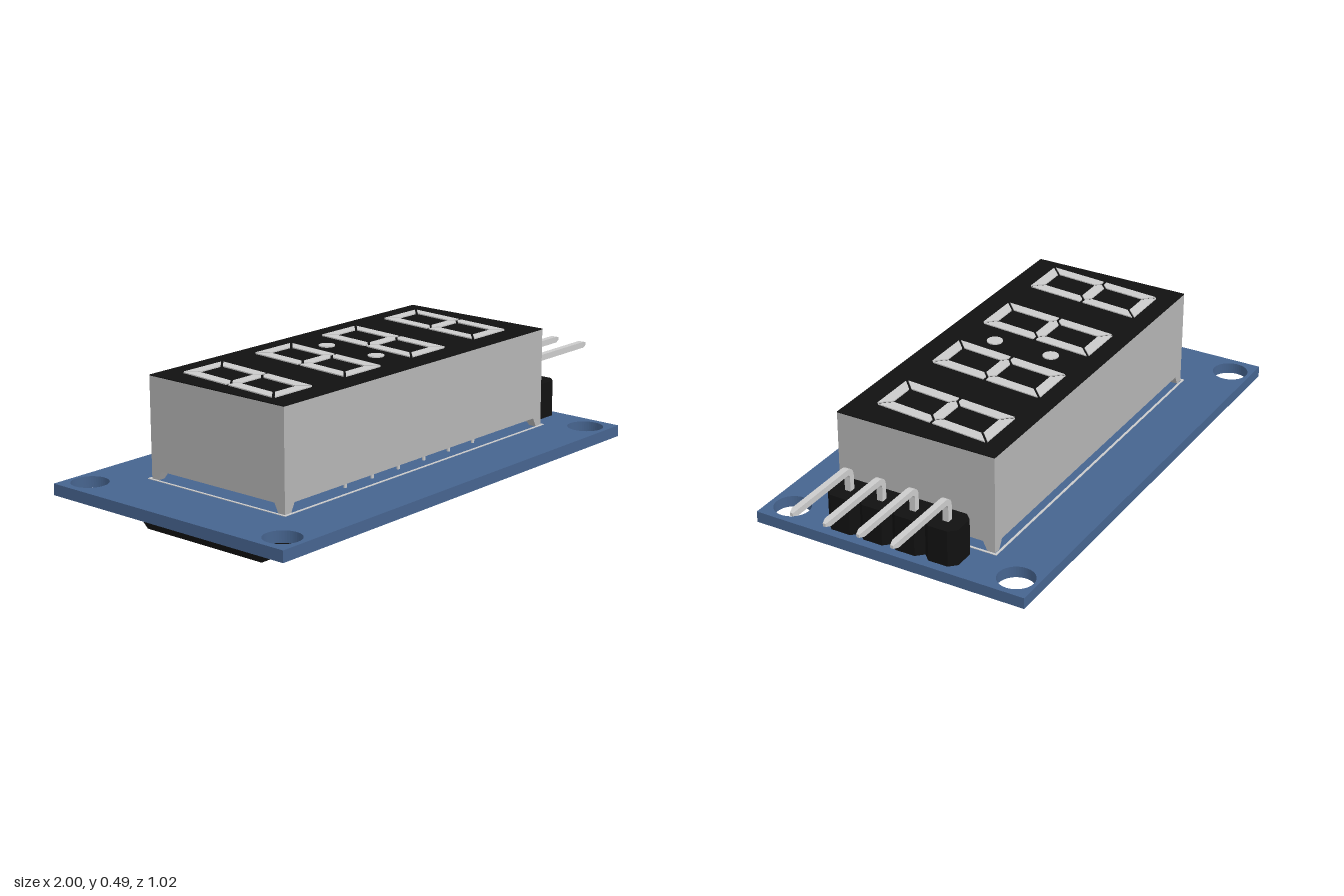
import * as THREE from 'three';
import { ConvexGeometry } from 'three/addons/geometries/ConvexGeometry.js';

const mat = (color) => new THREE.MeshStandardMaterial({ color });
const blue = mat(0x46648f), black = mat(0x111111), grey = mat(0xb4b4b4);
const metal = mat(0xcccccc), gold = mat(0xb08a35);

function add(parent, name, geometry, material, x = 0, y = 0, z = 0) {
  const mesh = new THREE.Mesh(geometry, material);
  mesh.name = name;
  mesh.position.set(x, y, z);
  parent.add(mesh);
  return mesh;
}

function group(parent, name, x = 0, y = 0, z = 0) {
  const g = new THREE.Group();
  g.name = name;
  g.position.set(x, y, z);
  parent.add(g);
  return g;
}

const box = (w, h, d) => new THREE.BoxGeometry(w, h, d);
const polygon = (pts) => new THREE.Shape(pts.map(([x, y]) => new THREE.Vector2(x, y)));

// Plan shape (x, -z) raised upwards by a height
function slab(shape, height, curveSegments = 24) {
  return new THREE.ExtrudeGeometry(shape, { depth: height, bevelEnabled: false, curveSegments })
    .rotateX(-Math.PI / 2);
}

function rect(x0, x1, y0, y1) {
  return [[x0, y0], [x1, y0], [x1, y1], [x0, y1]];
}

// Seven mitred segments of one slanted digit, origin at its lower left
function digitShapes() {
  const w = 0.185, h = 0.44, t = 0.04, g = 0.006, m = h / 2, slant = 0.09;
  const top = [[g, h], [w - g, h], [w - t - g, h - t], [t + g, h - t]];
  const side = [[0, h - g], [t, h - t - g], [t, m + t / 2 + g], [t / 2, m + g], [0, m + g]];
  const middle = [[t / 2 + g, m], [t + g, m + t / 2], [w - t - g, m + t / 2],
    [w - t / 2 - g, m], [w - t - g, m - t / 2], [t + g, m - t / 2]];
  const flipX = (p) => p.map(([x, y]) => [w - x, y]);
  const flipY = (p) => p.map(([x, y]) => [x, h - y]);
  return [top, flipY(top), side, flipX(side), flipY(side), flipX(flipY(side)), middle]
    .map((p) => polygon(p.map(([x, y]) => [x + y * slant, y])));
}

// Square pin bent to a right angle, with tapered tips
function bentPin(parent, z) {
  const s = 0.011, x = 0.68, y = 0.34, bottom = 0.087, end = 0.98;
  const pin = group(parent, 'headerPin', 0, 0, z);
  const side = new THREE.Shape();
  side.moveTo(x - s, bottom);
  side.lineTo(x + s, bottom);
  side.lineTo(x + s, y - s - 0.015);
  side.quadraticCurveTo(x + s, y - s, x + s + 0.015, y - s);
  side.lineTo(end, y - s);
  side.lineTo(end, y + s);
  side.lineTo(x + 0.028, y + s);
  side.quadraticCurveTo(x - s, y + s, x - s, y - 0.028);
  const geometry = new THREE.ExtrudeGeometry(side, { depth: 2 * s, bevelEnabled: false, curveSegments: 6 });
  add(pin, 'pinWire', geometry.translate(0, 0, -s), metal);
  const tip = () => new THREE.CylinderGeometry(s * 0.7, s * Math.SQRT2, 0.02, 4)
    .toNonIndexed().rotateY(Math.PI / 4);
  const lower = tip().rotateX(Math.PI), outer = tip().rotateZ(-Math.PI / 2);
  lower.computeVertexNormals();
  outer.computeVertexNormals();
  add(pin, 'lowerTip', lower, metal, x, bottom - 0.01);
  add(pin, 'outerTip', outer, metal, end + 0.01, y);
}

// Small surface component with metal ends, hanging under the board
function smallComponent(parent, name, x, z, height, material) {
  const g = group(parent, name, x, 0.09 - height / 2, z);
  add(g, 'componentBody', box(0.074, height * 0.94, 0.046), material);
  for (const side of [-1, 1]) add(g, 'endCap', box(0.016, height, 0.05), metal, side * 0.045);
}

export function createModel() {
  const model = new THREE.Group();
  model.name = 'displayModule';

  // Circuit board with four mounting holes
  const outline = polygon(rect(-1, 0.77, -0.508, 0.508));
  for (const x of [-0.912, 0.683]) for (const y of [-0.425, 0.43]) {
    outline.holes.push(new THREE.Path().absarc(x, y, 0.064, 0, Math.PI * 2, true));
  }
  add(model, 'circuitBoard', slab(outline, 0.04), blue, 0, 0.09);

  // Printed line around the display
  const frame = polygon(rect(-0.765, 0.605, -0.3, 0.312));
  frame.holes.push(polygon(rect(-0.757, 0.597, -0.292, 0.304)));
  add(model, 'printedOutline', slab(frame, 0.002), metal, 0, 0.13);

  // Display housing on four tapered corner feet
  const display = group(model, 'display', -0.08, 0, -0.005);
  const halfW = 0.675, halfD = 0.296;
  add(display, 'housing', box(2 * halfW, 0.318, 2 * halfD), grey, 0, 0.322);
  add(display, 'blackFace', box(2 * halfW, 0.003, 2 * halfD), black, 0, 0.4825);
  for (const sx of [-1, 1]) for (const sz of [-1, 1]) {
    const pts = [];
    for (const [y, size] of [[0.13, 0.028], [0.164, 0.045]]) {
      for (const a of [0, size]) for (const b of [0, size]) {
        pts.push(new THREE.Vector3(sx * (halfW - a), y, sz * (halfD - b)));
      }
    }
    add(display, 'cornerFoot', new ConvexGeometry(pts), grey);
  }

  // Four digits and the colon
  for (let i = 0; i < 4; i++) {
    const digit = group(model, 'digit', -0.711 + i * 0.3385, 0.484, 0.207);
    for (const shape of digitShapes()) add(digit, 'segment', slab(shape, 0.004), metal);
  }
  for (const z of [-0.12, 0.1]) {
    add(model, 'colonDot', new THREE.CylinderGeometry(0.028, 0.028, 0.004, 24), metal, -0.091, 0.486, z);
  }

  // Two rows of display pins through the board
  for (let i = 0; i < 6; i++) for (const z of [-0.235, 0.245]) {
    add(model, 'displayPin', new THREE.CylinderGeometry(0.006, 0.006, 0.1, 8), metal, -0.417 + i * 0.135, 0.12, z);
  }

  // Header of four chamfered blocks with bent pins
  const c = 0.025, hw = 0.061;
  const block = polygon([[-hw, c - hw], [c - hw, -hw], [hw - c, -hw], [hw, c - hw],
    [hw, hw - c], [hw - c, hw], [c - hw, hw], [-hw, hw - c]]);
  for (let i = 0; i < 4; i++) {
    const z = 0.194 - i * 0.1235;
    add(model, 'headerBlock', slab(block, 0.131), black, 0.68, 0.133, z);
    bentPin(model, z);
  }

  // Driver chip under the board, widest at mid height
  const chip = group(model, 'driverChip', -0.721, 0, 0.03);
  const corners = [];
  for (const [y, x, z] of [[0, 0.134, 0.253], [0.04, 0.148, 0.275], [0.07, 0.142, 0.275], [0.085, 0.136, 0.267]]) {
    for (const sx of [-1, 1]) for (const sz of [-1, 1]) corners.push(new THREE.Vector3(sx * x, y, sz * z));
  }
  add(chip, 'chipBody', new ConvexGeometry(corners), black);
  for (let i = 0; i < 10; i++) for (const side of [-1, 1]) {
    add(chip, 'chipLead', box(0.016, 0.045, 0.024), metal, side * 0.143, 0.0675, 0.236 - i * 0.052);
  }

  // Capacitors and resistors under the board
  for (const x of [0.016, -0.14]) {
    smallComponent(model, 'capacitor', x, 0.062, 0.042, gold);
    smallComponent(model, 'resistor', x, -0.015, 0.04, black);
  }
  smallComponent(model, 'capacitor', -0.8, -0.372, 0.042, gold);
  smallComponent(model, 'resistor', -0.76, -0.295, 0.034, black);

  return model;
}
